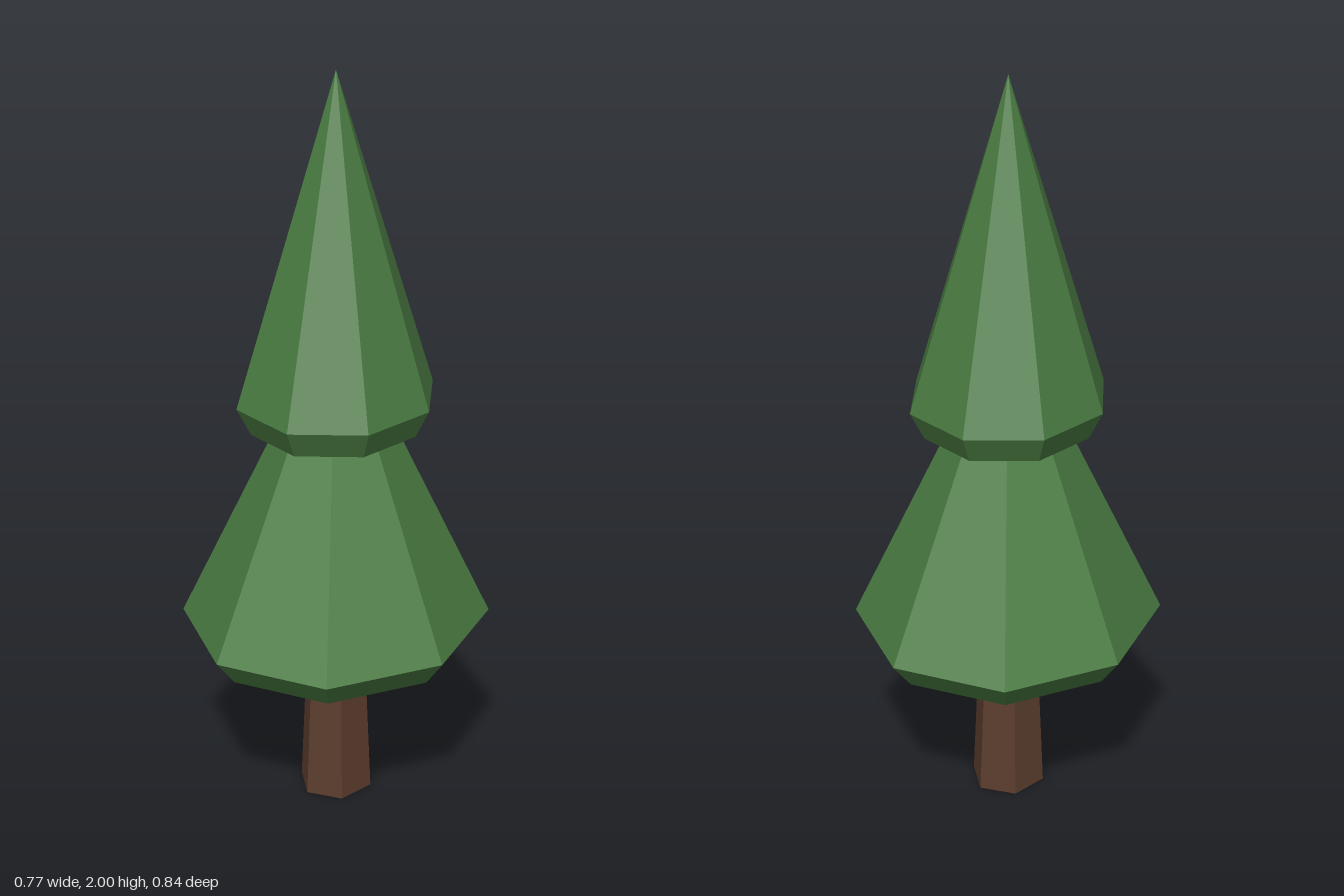
import * as THREE from 'three';

const DEPTH_STRETCH = 1.09; // the tree is slightly deeper than wide

// Faceted solid of revolution from a bottom-to-top [radius, height] profile.
// The first corner sits at `turn` degrees from +x towards +z.
function facetedSolid(name, profile, sides, turn, material) {
  const points = profile.map(([r, y]) => new THREE.Vector2(r, y));
  const start = THREE.MathUtils.degToRad(90 - turn);
  const geometry = new THREE.LatheGeometry(points, sides, start).toNonIndexed();
  geometry.scale(1, 1, DEPTH_STRETCH);
  geometry.computeVertexNormals(); // one normal per facet
  const mesh = new THREE.Mesh(geometry, material);
  mesh.name = name;
  return mesh;
}

// Cone of foliage with a bevelled, closed underside
function foliage(name, radius, bottom, rim, tip, turn, material) {
  const profile = [[0, bottom], [radius * 0.86, bottom], [radius, rim], [0, tip]];
  return facetedSolid(name, profile, 8, turn, material);
}

export function createModel() {
  const bark = new THREE.MeshStandardMaterial({ color: 0x5c3d2e, flatShading: true });
  bark.name = 'bark brown';
  const needles = new THREE.MeshStandardMaterial({ color: 0x4a7c42, flatShading: true });
  needles.name = 'needle green';

  const tree = new THREE.Group();
  tree.name = 'pineTree';

  // Tapered six-sided trunk, ending just inside the foliage
  const trunkProfile = [[0, 0], [0.1, 0], [0.078, 0.5], [0, 0.5]];
  tree.add(facetedSolid('trunk', trunkProfile, 6, 0, bark));

  // Two tiers of foliage
  tree.add(foliage('lowerFoliage', 0.404, 0.45, 0.525, 1.38, -17.5, needles));
  tree.add(foliage('upperFoliage', 0.262, 1.07, 1.145, 2, 6.5, needles));

  return tree;
}
